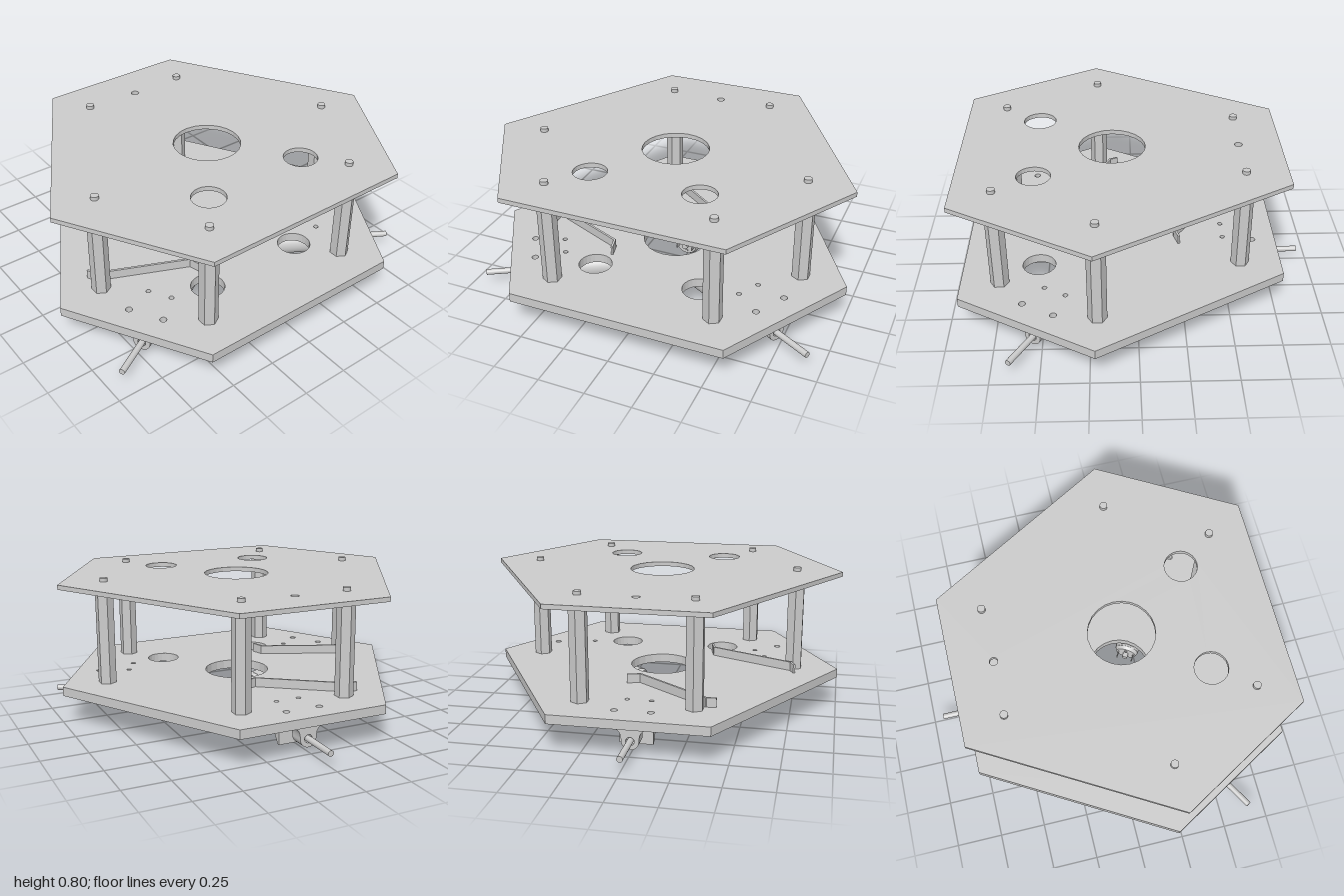
import * as THREE from 'three';

const material = new THREE.MeshStandardMaterial({ color: 0xcccccc });
const CENTRE = 0.125; // x of the three-fold axis
const OUTLINE = [[0.22, -1], [0.94, -0.585], [0.94, 0.585], [0.22, 1], [-0.79, 0.415], [-0.79, -0.415]];
const POSTS = [];
for (const s of [-1, 1]) POSTS.push([-0.565, 0.3 * s], [0.21, 0.75 * s], [0.73, 0.45 * s]);
const MOTOR_ANGLES = [Math.PI, Math.PI / 3, -Math.PI / 3];

function add(parent, name, geometry, x = 0, y = 0, z = 0) {
  const mesh = new THREE.Mesh(geometry, material);
  mesh.name = name;
  mesh.position.set(x, y, z);
  parent.add(mesh);
  return mesh;
}

function polygon(points) {
  return new THREE.Shape(points.map(([x, y]) => new THREE.Vector2(x, y)));
}

function extrude(shape, depth, segments = 16) {
  return new THREE.ExtrudeGeometry(shape, { depth, bevelEnabled: false, curveSegments: segments });
}

// Cylinder lying along x from x0 to x1
function rod(r, x0, x1, sides = 24, rEnd = r) {
  return new THREE.CylinderGeometry(rEnd, r, x1 - x0, sides).rotateZ(-Math.PI / 2).translate((x0 + x1) / 2, 0, 0);
}

// Hexagonal deck with round holes given as [x, z, radius]
function deck(thickness, extraHoles) {
  const shape = polygon(OUTLINE);
  const holes = [[CENTRE, 0, 0.18], [0.53, 0.3, 0.09], [0.53, -0.3, 0.09], ...extraHoles];
  for (const [x, z, r] of holes) {
    const hole = new THREE.Path();
    hole.absarc(x, -z, r, 0, Math.PI * 2, true);
    shape.holes.push(hole);
  }
  return extrude(shape, thickness, 12).rotateX(-Math.PI / 2);
}

// Motor unit: local +x points outward, origin on the three-fold axis
function motorUnit() {
  const unit = new THREE.Group();
  unit.name = 'motorUnit';
  const Y = 0.076;

  add(unit, 'motorBody', rod(0.07, 0.175, 0.69, 32), 0, Y);
  add(unit, 'motorEndCap', rod(0.058, 0.155, 0.175, 32, 0.068), 0, Y);
  add(unit, 'motorEndBoss', rod(0.016, 0.125, 0.16), 0, Y);
  for (const s of [-1, 1]) {
    add(unit, 'terminal', new THREE.BoxGeometry(0.045, 0.02, 0.006), 0.138, Y, 0.045 * s);
    add(unit, 'endScrew', rod(0.008, 0.148, 0.16, 10), 0, Y + 0.04 * s);
  }
  add(unit, 'driveShaft', rod(0.016, 0.68, 1.065), 0, Y);

  // Bracket: face plate, top flange and two gussets
  add(unit, 'bracketFace', new THREE.BoxGeometry(0.015, 0.16, 0.18), 0.6925, 0.085);
  add(unit, 'bracketFlange', new THREE.BoxGeometry(0.12, 0.014, 0.18), 0.64, 0.158);
  const gusset = polygon([[0.7, 0.005], [0.7, 0.165], [0.58, 0.165], [0.58, 0.15], [0.685, 0.005]]);
  for (const z of [-0.09, 0.078]) add(unit, 'bracketGusset', extrude(gusset, 0.012), 0, 0, z);

  // Hanging bearing block: flange, curved neck and round housing
  const block = new THREE.Shape();
  block.moveTo(-0.115, 0.165);
  block.lineTo(-0.115, 0.138);
  block.lineTo(-0.085, 0.138);
  block.quadraticCurveTo(-0.046, 0.136, -0.046, Y);
  block.absarc(0, Y, 0.046, Math.PI, Math.PI * 2, false);
  block.quadraticCurveTo(0.046, 0.136, 0.085, 0.138);
  block.lineTo(0.115, 0.138);
  block.lineTo(0.115, 0.165);
  const bore = new THREE.Path();
  bore.absarc(0, Y, 0.022, 0, Math.PI * 2, true);
  block.holes.push(bore);
  add(unit, 'bearingBlock', extrude(block, 0.085).rotateY(Math.PI / 2), 0.76);
  return unit;
}

// Upright strip following points [x, z] relative to the three-fold axis
function strip(points) {
  const group = new THREE.Group();
  group.name = 'bentStrip';
  for (let i = 1; i < points.length; i++) {
    const [x0, z0] = points[i - 1], [x1, z1] = points[i];
    const length = Math.hypot(x1 - x0, z1 - z0);
    const bar = add(group, 'stripSegment', new THREE.BoxGeometry(length + 0.008, 0.05, 0.012),
      CENTRE + (x0 + x1) / 2, 0.24, (z0 + z1) / 2);
    bar.rotation.y = -Math.atan2(z1 - z0, x1 - x0);
  }
  return group;
}

export function createModel() {
  const model = new THREE.Group();
  model.name = 'robotBase';

  // Decks
  const screwHoles = POSTS.map(([x, z]) => [x, z, 0.02]);
  for (const a of MOTOR_ANGLES) {
    for (const [r, offset, size] of [[0.62, 0.065, 0.013], [0.785, 0.095, 0.018]]) {
      for (const s of [-1, 1]) {
        const o = offset * s;
        screwHoles.push([CENTRE + r * Math.cos(a) - o * Math.sin(a), r * Math.sin(a) + o * Math.cos(a), size]);
      }
    }
  }
  add(model, 'lowerDeck', deck(0.05, screwHoles), 0, 0.165);
  add(model, 'upperDeck', deck(0.025, [[-0.56, 0, 0.022]]), 0, 0.755);

  // Hexagonal posts with a screw head above the upper deck
  for (const [x, z] of POSTS) {
    const post = new THREE.CylinderGeometry(0.05, 0.05, 0.54, 6).toNonIndexed().rotateY(Math.PI / 2);
    post.computeVertexNormals();
    add(model, 'post', post, x, 0.485, z);
    add(model, 'postScrew', new THREE.CylinderGeometry(0.021, 0.021, 0.03, 20), x, 0.785, z);
  }

  // Motors
  for (const a of MOTOR_ANGLES) {
    const unit = motorUnit();
    unit.position.x = CENTRE;
    unit.rotation.y = a;
    model.add(unit);
  }

  // Bent strips, mirrored about the axis between two motors
  const path = [[-0.025, 0.76], [0.018, 0.74], [0.22, 0.275], [0.288, 0.258]];
  model.add(strip(path));
  model.add(strip(path.map(([x, z]) => [-0.5 * x - 0.866 * z, -0.866 * x + 0.5 * z])));

  return model;
}
